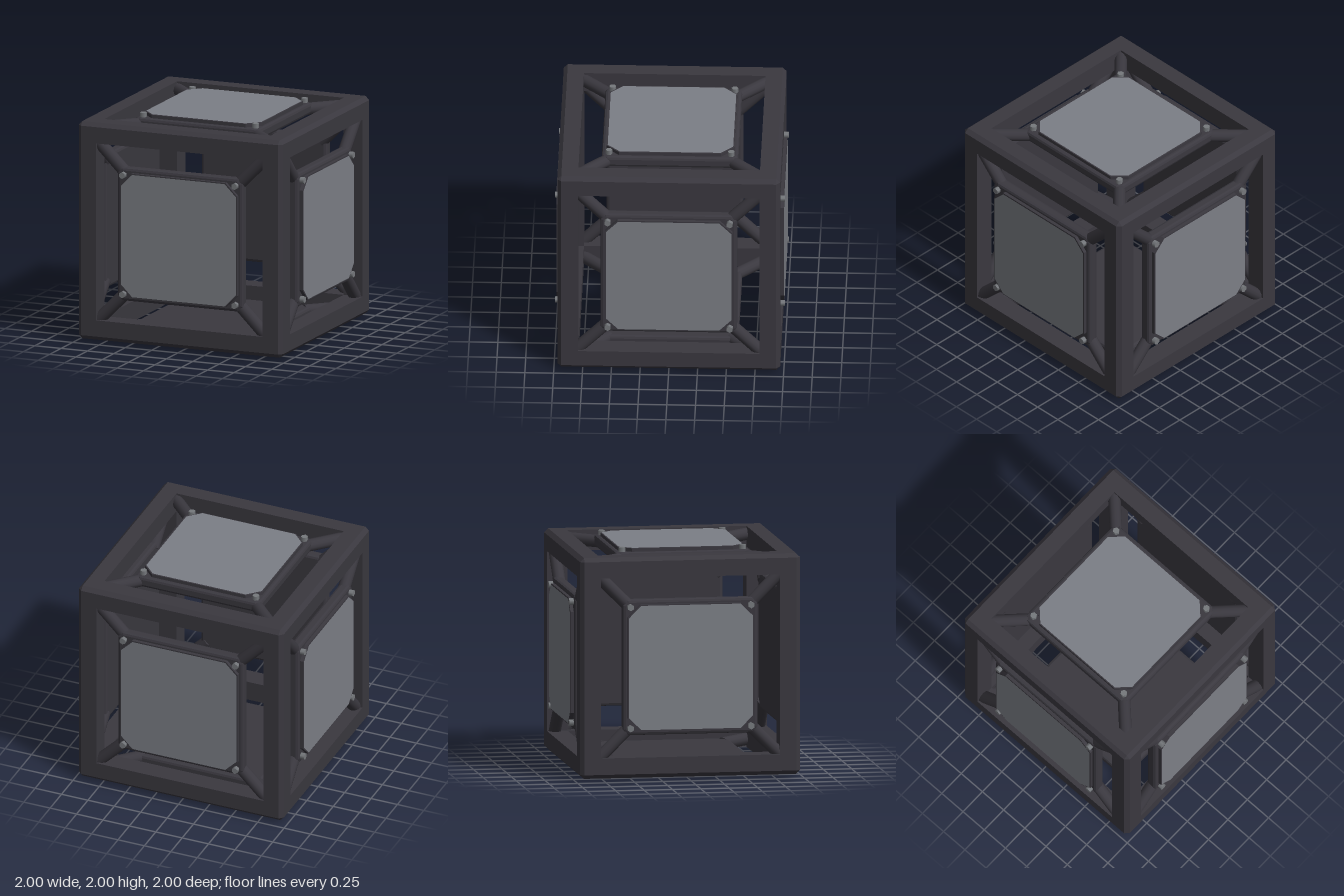
import * as THREE from 'three';
import { ConvexGeometry } from 'three/addons/geometries/ConvexGeometry.js';

const IN = 0.79, OUT = 0.97, CH = 0.935; // frame inner edge, outer edge, chamfer start

export function createModel() {
  const dark = new THREE.MeshStandardMaterial({ color: 0x3a383f });
  const grey = new THREE.MeshStandardMaterial({ color: 0x7c7f86 });
  const steel = new THREE.MeshStandardMaterial({ color: 0x76797d });
  dark.name = 'darkMetal';
  grey.name = 'greyPanel';
  steel.name = 'boltSteel';

  const model = new THREE.Group();
  model.name = 'frameCube';
  const body = new THREE.Group();
  body.name = 'body';
  body.position.y = 1;
  model.add(body);

  const add = (parent, name, geometry, material) => {
    const mesh = new THREE.Mesh(geometry, material);
    mesh.name = name;
    parent.add(mesh);
    return mesh;
  };
  const hull = (pts) => new ConvexGeometry(pts.map((p) => new THREE.Vector3(...p)));
  // Square with its four corners cut
  const cutSquare = (h, cut) => new THREE.Shape([
    [h, -h + cut], [h, h - cut], [h - cut, h], [-h + cut, h],
    [-h, h - cut], [-h, -h + cut], [-h + cut, -h], [h - cut, -h],
  ].map(([x, y]) => new THREE.Vector2(x, y)));

  // Twelve beams, chamfered on the outer edge
  const profile = [[IN, IN], [OUT, IN], [OUT, CH], [CH, OUT], [IN, OUT]];
  for (let axis = 0; axis < 3; axis++) {
    for (const s of [-1, 1]) for (const t of [-1, 1]) {
      const pts = [];
      for (const [a, b] of profile) for (const end of [-IN, IN]) {
        const p = [0, 0, 0];
        p[axis] = end;
        p[(axis + 1) % 3] = a * s;
        p[(axis + 2) % 3] = b * t;
        pts.push(p);
      }
      add(body, 'frameBeam', hull(pts), dark);
    }
  }

  // Eight corner blocks
  const corner = [[IN, IN, IN]];
  for (let i = 0; i < 3; i++) {
    for (const [a, b] of [[IN, IN], [CH, IN], [IN, CH], [CH, CH]]) {
      const p = [0, 0, 0];
      p[i] = OUT;
      p[(i + 1) % 3] = a;
      p[(i + 2) % 3] = b;
      corner.push(p);
    }
  }
  for (const sx of [-1, 1]) for (const sy of [-1, 1]) for (const sz of [-1, 1]) {
    add(body, 'frameCorner', hull(corner.map(([x, y, z]) => [x * sx, y * sy, z * sz])), dark);
  }

  // Shared panel geometries, facing +z
  const rimGeo = new THREE.ExtrudeGeometry(cutSquare(0.57, 0.03), {
    depth: 0.05, bevelEnabled: true, bevelThickness: 0.025, bevelSize: 0.025, bevelSegments: 2,
  });
  const slabGeo = new THREE.ExtrudeGeometry(cutSquare(0.555, 0.11), { depth: 0.04, bevelEnabled: false });
  const faceGeo = new THREE.ShapeGeometry(cutSquare(0.546, 0.107));
  const strutGeo = new THREE.CylinderGeometry(0.055, 0.055, 0.42, 12);
  const boltGeo = new THREE.CylinderGeometry(0.03, 0.03, 0.06, 6);
  boltGeo.rotateX(Math.PI / 2);

  const makePanel = () => {
    const panel = new THREE.Group();
    panel.name = 'panel';
    add(panel, 'panelRim', rimGeo, dark).position.z = 0.885;
    add(panel, 'panelSlab', slabGeo, dark).position.z = 0.95;
    add(panel, 'panelFace', faceGeo, grey).position.z = 0.993;
    for (const sx of [-1, 1]) for (const sy of [-1, 1]) {
      // Diagonal strut to the frame corner, and a hex bolt over its inner end
      const strut = add(panel, 'strut', strutGeo, dark);
      strut.position.set(sx * 0.68, sy * 0.68, 0.9);
      strut.rotation.z = -sx * sy * Math.PI / 4;
      add(panel, 'bolt', boltGeo, steel).position.set(sx * 0.532, sy * 0.532, 0.97);
    }
    return panel;
  };

  // One panel on each side of the cube
  const q = Math.PI / 2;
  for (const [rx, ry] of [[0, 0], [0, q], [0, 2 * q], [0, -q], [q, 0], [-q, 0]]) {
    const panel = makePanel();
    panel.rotation.set(rx, ry, 0);
    body.add(panel);
  }
  return model;
}
